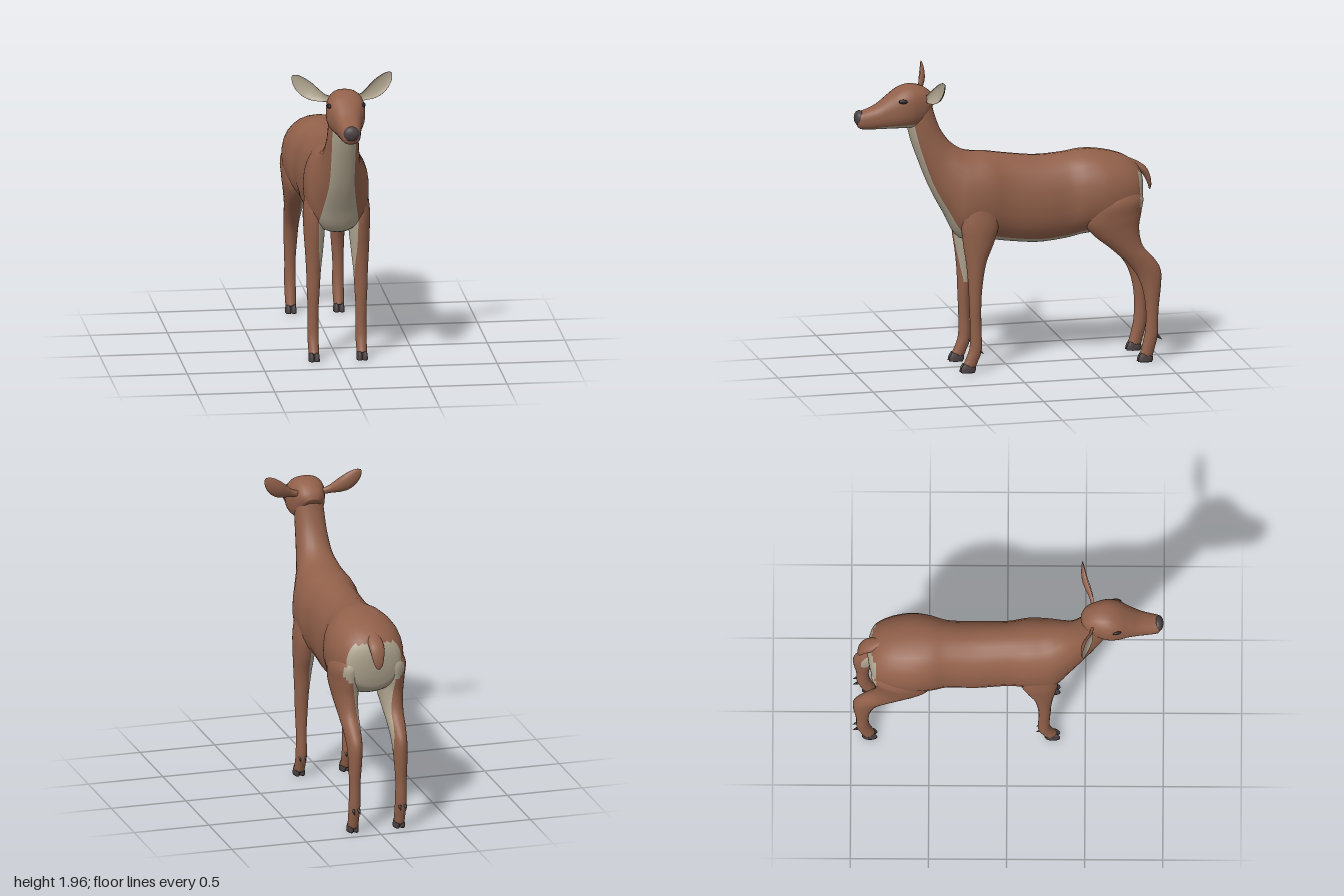
import * as THREE from 'three';

const mat = (name, color) => Object.assign(new THREE.MeshStandardMaterial({ color }), { name });

// A cross-section spanning side-plane points A and B: centre, half axis u (towards A), half axis v (x), strip angle
const sec = ([zA, yA, zB, yB, hw, a = 0, cx = 0]) =>
  [cx, (yA + yB) / 2, (zA + zB) / 2, 0, (yA - yB) / 2, (zA - zB) / 2, hw, 0, 0, a];

// Catmull-Rom blend between neighbouring sections
function blend(S, i, t) {
  const at = k => S[Math.min(Math.max(k, 0), S.length - 1)];
  const [p, q, r, w] = [at(i - 1), at(i), at(i + 1), at(i + 2)];
  return q.map((_, k) => 0.5 * (2 * q[k] + (r[k] - p[k]) * t + (2 * p[k] - 5 * q[k] + 4 * r[k] - w[k]) * t * t
    + (3 * q[k] - p[k] - 3 * r[k] + w[k]) * t * t * t));
}

// Closed loft; a strip of each ring, centred on phi, takes the second material
function loft(name, sections, mats, { phi = Math.PI, e = 1, sub = 5, side = 1, cup = false, rule = () => false } = {}) {
  const N = 32, M = 12, rows = [], pos = [];
  for (let i = 0; i < sections.length - 1; i++)
    for (let k = 0; k < sub; k++) rows.push(blend(sections, i, k / sub));
  rows.push(sections[sections.length - 1]);
  const pw = c => Math.sign(c) * Math.abs(c) ** e;
  for (const r of rows) {
    const a = Math.min(Math.max(r[9], 0.3), 2.6);
    for (let j = 0; j < N; j++) {
      const th = phi + (j <= M ? -a + 2 * a * j / M : a + (2 * Math.PI - 2 * a) * (j - M) / (N - M));
      const c = pw(Math.cos(th));
      let s = pw(Math.sin(th));
      if (cup && s < 0) s *= -0.5;
      pos.push(side * (r[0] + r[3] * c + r[6] * s), r[1] + r[4] * c + r[7] * s, r[2] + r[5] * c + r[8] * s);
    }
  }
  const R = rows.length, last = rows[R - 1];
  pos.push(side * rows[0][0], rows[0][1], rows[0][2], side * last[0], last[1], last[2]);
  const P = k => new THREE.Vector3().fromArray(pos, k * 3);
  const lists = [[], []];
  const add = (tris, strip) => {
    const c = P(tris[0]).add(P(tris[1])).add(P(tris[2])).divideScalar(3);
    lists[strip || rule(c) ? 1 : 0].push(...tris);
  };
  for (let j = 0; j < N; j++) {
    const n = (j + 1) % N, e0 = (R - 1) * N;
    add([R * N, n, j], false);
    for (let i = 0; i < R - 1; i++) {
      const o = i * N, strip = j < M && (rows[i][9] + rows[i + 1][9]) / 2 > 0.15;
      const c = P(o + j).add(P(o + N + n)).multiplyScalar(0.5);
      const white = strip || rule(c);
      lists[white ? 1 : 0].push(o + j, o + n, o + N + j, o + n, o + N + n, o + N + j);
    }
    add([R * N + 1, e0 + j, e0 + n], false);
  }
  // turn faces outward
  let vol = 0;
  for (const L of lists) for (let k = 0; k < L.length; k += 3)
    vol += P(L[k]).dot(P(L[k + 1]).cross(P(L[k + 2])));
  if (vol < 0) for (const L of lists) for (let k = 0; k < L.length; k += 3) [L[k], L[k + 1]] = [L[k + 1], L[k]];
  const g = new THREE.BufferGeometry();
  g.setAttribute('position', new THREE.Float32BufferAttribute(pos, 3));
  g.setIndex([...lists[0], ...lists[1]]);
  g.addGroup(0, lists[0].length, 0);
  g.addGroup(lists[0].length, lists[1].length, 1);
  g.computeVertexNormals();
  const m = new THREE.Mesh(g, mats);
  m.name = name;
  return m;
}

export function createModel() {
  const coat = mat('brown coat', 0x91604a), cream = mat('cream fur', 0xb0a590);
  const horn = mat('dark hoof and nose', 0x4a4042), black = mat('eye black', 0x2a2222);
  const fur = [coat, cream], dark = [horn, horn];
  const model = new THREE.Group();
  model.name = 'deer';

  const blob = (name, material, p, s, ry = 0) => {
    const m = new THREE.Mesh(new THREE.SphereGeometry(1, 24, 16), material);
    m.name = name;
    m.position.set(...p);
    m.scale.set(...s);
    m.rotation.y = ry;
    model.add(m);
  };

  // Rump, trunk and neck in one sweep: [zTop, yTop, zBottom, yBottom, halfWidth, creamAngle]
  const rump = c => c.z < -0.842 && c.y < 1.25;
  model.add(loft('bodyAndNeck', [
    [-0.895, 1.18, -0.888, 1.07, 0.05, 0.8], [-0.88, 1.24, -0.87, 0.99, 0.125, 0.8],
    [-0.84, 1.295, -0.84, 0.93, 0.185, 0.8], [-0.75, 1.347, -0.74, 0.88, 0.228, 0.75],
    [-0.62, 1.38, -0.61, 0.855, 0.248, 0.65], [-0.5, 1.39, -0.48, 0.838, 0.232, 0.6],
    [-0.38, 1.377, -0.38, 0.815, 0.2, 0.55], [-0.2, 1.37, -0.2, 0.8, 0.197, 0.55],
    [0, 1.395, 0, 0.82, 0.19, 0.55], [0.13, 1.415, 0.15, 0.845, 0.207, 0.6],
    [0.24, 1.425, 0.315, 0.86, 0.2, 0.68], [0.31, 1.45, 0.41, 1.02, 0.165, 0.65],
    [0.38, 1.505, 0.505, 1.2, 0.125, 0.67], [0.437, 1.59, 0.585, 1.4, 0.105, 0.8],
    [0.475, 1.69, 0.63, 1.53, 0.098, 0.9], [0.5, 1.79, 0.655, 1.64, 0.092, 0.9],
  ].map(sec), fur, { e: 0.92, rule: rump }));

  // Head, from the nape to the muzzle
  model.add(loft('head', [
    [0.47, 1.78, 0.53, 1.7, 0.05], [0.495, 1.83, 0.57, 1.64, 0.088, 0.7], [0.56, 1.875, 0.61, 1.612, 0.11, 0.8],
    [0.64, 1.888, 0.65, 1.608, 0.125, 0.8], [0.71, 1.868, 0.71, 1.608, 0.12, 0.8],
    [0.78, 1.82, 0.78, 1.608, 0.095, 0.8], [0.85, 1.768, 0.85, 1.608, 0.078, 0.8],
    [0.92, 1.738, 0.92, 1.61, 0.066, 0.3], [0.965, 1.725, 0.965, 1.617, 0.057], [0.985, 1.71, 0.982, 1.64, 0.038],
  ].map(sec), fur, { e: 0.8 }));
  blob('nose', horn, [0, 1.685, 0.966], [0.053, 0.05, 0.034]);

  // Tail hanging over the rump
  model.add(loft('tail', [
    [-0.8, 1.32, -0.82, 1.26, 0.03], [-0.87, 1.287, -0.865, 1.23, 0.048], [-0.925, 1.245, -0.898, 1.205, 0.048],
    [-0.952, 1.185, -0.92, 1.17, 0.04], [-0.959, 1.13, -0.938, 1.13, 0.028], [-0.953, 1.1, -0.945, 1.1, 0.01],
  ].map(sec), fur));

  // Legs: [zFront, yFront, zBack, yBack, halfWidth, creamAngle, xCentre]
  const frontLeg = [
    [0.29, 1.25, 0.11, 1.25, 0.045, 1.3, 0.13], [0.325, 1.0, 0.08, 1.0, 0.07, 1.3, 0.143],
    [0.318, 0.86, 0.11, 0.86, 0.068, 1.3, 0.145], [0.297, 0.72, 0.165, 0.72, 0.058, 1.1, 0.148],
    [0.284, 0.58, 0.19, 0.58, 0.047, 0.5, 0.152], [0.279, 0.45, 0.2, 0.45, 0.041, -0.3, 0.154],
    [0.273, 0.3, 0.2, 0.3, 0.034, 0, 0.155], [0.275, 0.17, 0.197, 0.145, 0.036, 0, 0.155],
    [0.3, 0.09, 0.222, 0.07, 0.034, 0, 0.155], [0.32, 0.052, 0.238, 0.03, 0.033, 0, 0.155],
  ].map(sec);
  const hindLeg = [
    [-0.55, 1.25, -0.8, 1.22, 0.05, 1.5, 0.1], [-0.5, 1.08, -0.868, 1.1, 0.1, 1.5, 0.142],
    [-0.475, 0.95, -0.857, 0.99, 0.095, 1.5, 0.148], [-0.54, 0.855, -0.842, 0.89, 0.08, 1.3, 0.15],
    [-0.66, 0.755, -0.865, 0.77, 0.064, 1, 0.15], [-0.76, 0.66, -0.94, 0.68, 0.054, 0.8, 0.15],
    [-0.83, 0.57, -0.985, 0.6, 0.048, 0.4, 0.15], [-0.87, 0.46, -0.985, 0.49, 0.043, -0.3, 0.152],
    [-0.887, 0.33, -0.968, 0.33, 0.036, 0, 0.155], [-0.882, 0.2, -0.965, 0.18, 0.037, 0, 0.155],
    [-0.86, 0.1, -0.942, 0.08, 0.035, 0, 0.155], [-0.845, 0.052, -0.928, 0.03, 0.033, 0, 0.155],
  ].map(sec);

  // Ear: a cupped leaf with a cream hollow facing forward
  const ear = [
    [0.075, 1.805, 0.55, 0.022, 0.012], [0.13, 1.815, 0.55, 0.028, 0.025], [0.18, 1.835, 0.535, 0.044, 0.035],
    [0.225, 1.862, 0.515, 0.054, 0.035], [0.27, 1.897, 0.5, 0.05, 0.028], [0.305, 1.93, 0.488, 0.032, 0.014],
    [0.322, 1.95, 0.482, 0.006, 0.004],
  ].map(([x, y, z, w, d], i) => [x, y, z, -0.5 * w, 0.84 * w, 0, -0.25 * d, 0, -d, i ? 1.4 : 0]);

  for (const side of [1, -1]) {
    const label = side > 0 ? 'left' : 'right';
    const legs = [['Front', frontLeg, 0, () => false], ['Hind', hindLeg, -1.17, c => rump(c) && c.y > 1]];
    for (const [end, path, dz, rule] of legs) {
      model.add(loft(`${label}${end}Leg`, path, fur, { phi: -Math.PI / 2, side, rule }));
      for (const dx of [-0.017, 0.017]) {
        // cloven hoof halves and dewclaws
        const x = 0.155 + dx;
        model.add(loft(`${label}${end}Hoof`, [
          [0.318 + dz, 0.06, 0.24 + dz, 0.036, 0.015, 0, x], [0.333 + dz, 0.035, 0.24 + dz, 0.018, 0.0185, 0, x],
          [0.34 + dz, 0.004, 0.248 + dz, 0, 0.019, 0, x],
        ].map(sec), dark, { side, sub: 3 }));
        const claw = new THREE.Mesh(new THREE.ConeGeometry(0.011, 0.04, 10), horn);
        claw.name = `${label}${end}Dewclaw`;
        claw.position.set(side * (0.155 + dx * 1.1), end === 'Front' ? 0.132 : 0.155, end === 'Front' ? 0.2 : -0.975);
        claw.rotation.x = -2.3;
        model.add(claw);
      }
    }
    model.add(loft(`${label}Ear`, ear, fur, { phi: -Math.PI / 2, side, cup: true }));
    blob(`${label}Eye`, black, [side * 0.112, 1.802, 0.703], [0.011, 0.015, 0.028], -side * 0.25);
  }
  return model;
}
